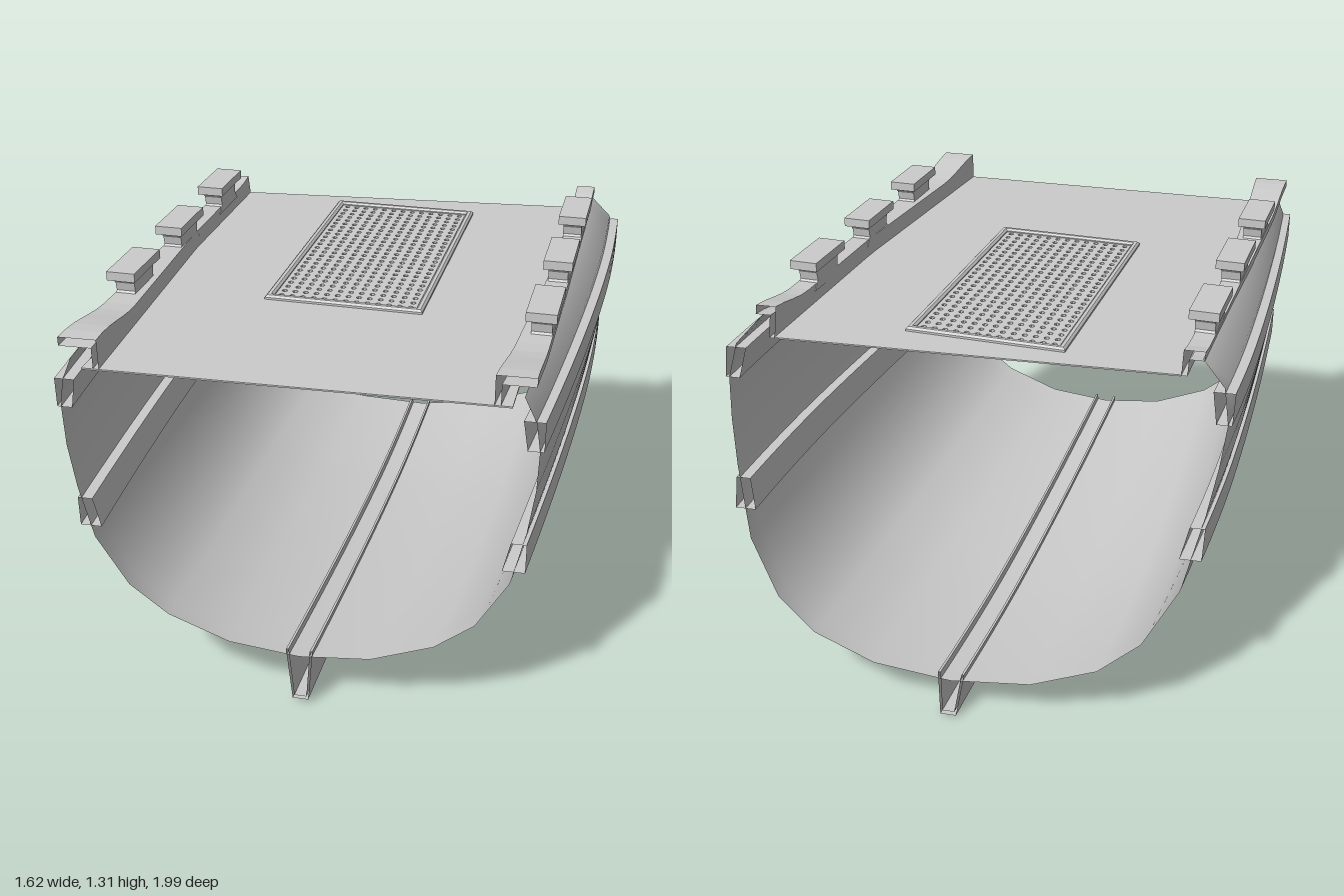
import * as THREE from 'three';

const material = new THREE.MeshStandardMaterial({ color: 0xcccccc, side: THREE.DoubleSide });
const lerp = THREE.MathUtils.lerp;

// Oblique planes that cut off both ends of the hull section
const frontCut = (x) => 0.965 - 0.045 * x;
const backCut = (x, y) => -0.995 + 0.265 * y - 0.1 * x;

// Fullness of the hull along its length: 0 = narrow front, 1 = widest
function fullness(z) {
  if (z > -0.4) return 1 - Math.pow(Math.min(1, (z + 0.4) / 1.4), 1.6);
  return 1 - 0.25 * Math.pow((-0.4 - z) / 0.6, 2);
}

// Half section of the hull, keel to rail: narrow x, y then full x, y
const RIBS = [
  [0, 0.195, 0, 0.1], [0.23, 0.22, 0.27, 0.125], [0.43, 0.3, 0.48, 0.2],
  [0.555, 0.4, 0.61, 0.31], [0.655, 0.57, 0.71, 0.5], [0.695, 0.75, 0.762, 0.75],
  [0.715, 0.9, 0.785, 0.9], [0.718, 1.03, 0.797, 1.03], [0.705, 1.12, 0.775, 1.14],
  [0.67, 1.2, 0.7, 1.22],
];
function halfSection(z) {
  const t = fullness(z);
  return RIBS.map(([a, b, c, d]) => [lerp(a, c, t), lerp(b, d, t)]);
}
function hullX(y, z) {
  const p = halfSection(z);
  const i = Math.max(1, p.findIndex((q) => q[1] >= y));
  return lerp(p[i - 1][0], p[i][0], (y - p[i - 1][1]) / (p[i][1] - p[i - 1][1]));
}

// Sweep a section (a function of z) from the back cut to the front cut
function sweep(name, section, { side = 1, closed = true, smooth = false, steps = 28 } = {}) {
  const count = section(0).length;
  const pos = [], index = [];
  for (let i = 0; i <= steps; i++) {
    for (let j = 0; j < count; j++) {
      let z = lerp(-0.9, 0.97, i / steps), p;
      for (let k = 0; k < 4; k++) {
        p = section(z)[j];
        z = lerp(backCut(side * p[0], p[1]), frontCut(side * p[0]), i / steps);
      }
      pos.push(side * p[0], p[1], z);
    }
  }
  for (let i = 0; i < steps; i++) {
    for (let j = 0; j < (closed ? count : count - 1); j++) {
      const a = i * count + j, b = i * count + ((j + 1) % count);
      if (side > 0) index.push(a, b, b + count, a, b + count, a + count);
      else index.push(a, b + count, b, a, a + count, b + count);
    }
  }
  let geo = new THREE.BufferGeometry();
  geo.setAttribute('position', new THREE.Float32BufferAttribute(pos, 3));
  geo.setIndex(index);
  if (!smooth) geo = geo.toNonIndexed();
  geo.computeVertexNormals();
  return part(name, geo);
}

function part(name, geo) {
  const mesh = new THREE.Mesh(geo, material);
  mesh.name = name;
  return mesh;
}

function rectangle(Type, x0, x1, z0, z1) {
  // Drawn in x and -z, so that a quarter turn lays it flat
  const s = new Type();
  s.moveTo(x0, -z1); s.lineTo(x1, -z1); s.lineTo(x1, -z0); s.lineTo(x0, -z0);
  s.closePath();
  return s;
}

function flatPlate(name, shape, y, depth, bevel = 0) {
  const geo = new THREE.ExtrudeGeometry(shape, {
    depth, bevelEnabled: bevel > 0, bevelSize: bevel, bevelThickness: bevel, bevelSegments: 1,
  });
  geo.rotateX(-Math.PI / 2);
  geo.translate(0, y, 0);
  return part(name, geo);
}

// Deck with an opening for the grating
function makeDeck() {
  const y = 1.163, w = 0.64;
  const s = new THREE.Shape();
  s.moveTo(-w, -frontCut(-w)); s.lineTo(w, -frontCut(w));
  s.lineTo(w, -backCut(w, y)); s.lineTo(-w, -backCut(-w, y));
  s.closePath();
  s.holes.push(rectangle(THREE.Path, -0.235, 0.235, -0.55, 0.35));
  return flatPlate('deck', s, y, 0.005);
}

// Grating with rows of small holes inside a raised frame
function makeGrating() {
  const group = new THREE.Group();
  group.name = 'deckGrating';
  const panel = rectangle(THREE.Shape, -0.24, 0.24, -0.555, 0.355);
  for (let i = 0; i < 13; i++) {
    for (let j = 0; j < 25; j++) {
      const x = (i - 6) * 0.0365, y = 0.1 + (j - 12) * 0.0365;
      const hole = new THREE.Path();
      for (let k = 0; k < 6; k++) {
        const a = -k * Math.PI / 3;
        hole[k ? 'lineTo' : 'moveTo'](x + 0.0095 * Math.cos(a), y + 0.0095 * Math.sin(a));
      }
      hole.closePath();
      panel.holes.push(hole);
    }
  }
  const frame = rectangle(THREE.Shape, -0.258, 0.258, -0.573, 0.373);
  frame.holes.push(rectangle(THREE.Path, -0.247, 0.247, -0.562, 0.362));
  group.add(flatPlate('gratingPanel', panel, 1.157, 0.014));
  group.add(flatPlate('gratingFrame', frame, 1.153, 0.022, 0.007));
  return group;
}

// Rail along the deck edge, lifted at both ends, with a lip down to the deck
function railSection(z) {
  const lift = 0.035 * (THREE.MathUtils.smoothstep(z, 0.65, 0.95) + THREE.MathUtils.smoothstep(-z, 0.5, 0.75));
  const top = 1.228 + lift;
  const inner = 0.64 - 0.055 * Math.max(0, z), outer = 0.705;
  return [[inner, 1.165], [inner, top], [outer, top], [outer, top - 0.028],
    [inner + 0.018, top - 0.028], [inner + 0.018, 1.165]];
}

// Rail post with a flared foot and a wider cap
function makePost(side, z) {
  const group = new THREE.Group();
  group.name = 'railPost';
  const s = new THREE.Shape();
  [[-0.1, 1.205], [0.1, 1.205], [0.075, 1.235], [0.08, 1.262], [0.1, 1.282], [-0.1, 1.282], [-0.08, 1.262], [-0.075, 1.235]]
    .forEach(([a, b], i) => (i ? s.lineTo(a, b) : s.moveTo(a, b)));
  const stem = new THREE.ExtrudeGeometry(s, { depth: 0.064, bevelEnabled: false });
  stem.translate(0, 0, -0.032);
  stem.rotateY(Math.PI / 2);
  const cap = new THREE.BoxGeometry(0.095, 0.03, 0.22);
  cap.translate(0, 1.295, 0);
  group.add(part('postStem', stem), part('postCap', cap));
  group.position.set(side * 0.67, 0, z);
  return group;
}

// Hollow stringer that follows the hull between two heights
function stringerSection(low, high) {
  return (z) => {
    const a = hullX(low, z), b = hullX(high, z);
    const out = Math.max(a, b) + 0.012;
    return [[a - 0.035, low], [out, low], [out, high], [b - 0.035, high]];
  };
}

// Open keel channel, standing a little above the hull floor
function keelSection(z) {
  const t = fullness(z), bottom = 0.02 * (1 - t), top = lerp(0.195, 0.1, t) + 0.025;
  return [[-0.043, top], [-0.026, bottom], [0.026, bottom], [0.043, top],
    [0.035, top], [0.02, bottom + 0.012], [-0.02, bottom + 0.012], [-0.035, top]];
}

export function createModel() {
  const model = new THREE.Group();
  model.name = 'hullSection';

  const fullSection = (z) => {
    const half = halfSection(z);
    return [...half.slice(1).reverse().map(([x, y]) => [-x, y]), ...half];
  };
  model.add(sweep('hull', fullSection, { closed: false, smooth: true }));
  model.add(sweep('keel', keelSection));
  model.add(makeDeck(), makeGrating());

  for (const side of [1, -1]) {
    const prefix = side > 0 ? 'left' : 'right';
    model.add(sweep(prefix + 'Rail', railSection, { side }));
    model.add(sweep(prefix + 'UpperStringer', stringerSection(1.03, 1.125), { side }));
    model.add(sweep(prefix + 'LowerStringer', stringerSection(0.61, 0.71), { side }));
    for (const z of [0.49, 0.07, -0.355]) model.add(makePost(side, z));
  }
  return model;
}
